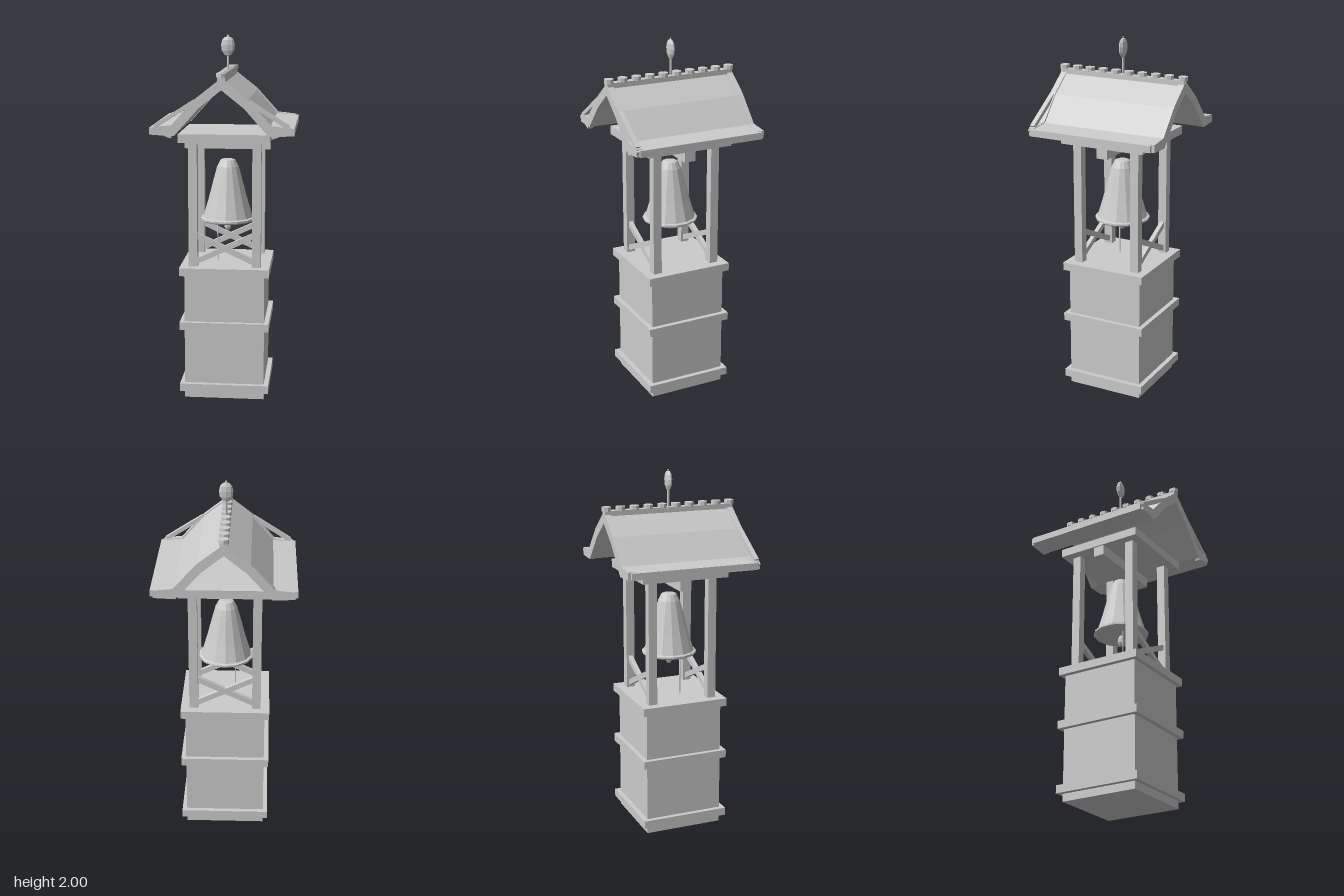
import * as THREE from 'three';

export function createModel() {
  const model = new THREE.Group();
  model.name = 'bellTower';
  const stone = new THREE.MeshStandardMaterial({ color: 0xcccccc, flatShading: true });
  stone.name = 'pale grey';

  const add = (name, geometry, x = 0, y = 0, z = 0) => {
    const mesh = new THREE.Mesh(geometry, stone);
    mesh.name = name;
    mesh.position.set(x, y, z);
    model.add(mesh);
    return mesh;
  };
  // Box given by its width, bottom, top and depth
  const block = (name, w, y0, y1, d, x = 0, z = 0) =>
    add(name, new THREE.BoxGeometry(w, y1 - y0, d), x, (y0 + y1) / 2, z);
  // Bar between two points of a plane facing z
  const bar = (name, x0, y0, x1, y1, thick, depth, z) => {
    const length = Math.hypot(x1 - x0, y1 - y0);
    const mesh = add(name, new THREE.BoxGeometry(length, thick, depth), (x0 + x1) / 2, (y0 + y1) / 2, z);
    mesh.rotation.z = Math.atan2(y1 - y0, x1 - x0);
    return mesh;
  };
  const lathe = (name, points, sides, x = 0, y = 0, z = 0) =>
    add(name, new THREE.LatheGeometry(points.map(p => new THREE.Vector2(...p)), sides), x, y, z);
  // Half outline mirrored in x and extruded from z0 to z1
  const gable = (name, upper, lower, z0, z1) => {
    const right = [...upper, ...lower];
    const left = right.slice(1, -1).reverse().map(([x, y]) => [-x, y]);
    const shape = new THREE.Shape([...right, ...left].map(p => new THREE.Vector2(...p)));
    return add(name, new THREE.ExtrudeGeometry(shape, { depth: z1 - z0, bevelEnabled: false }), 0, 0, z0);
  };

  // Base with three bands
  block('base', 0.44, 0, 0.71, 0.44);
  for (const [y0, y1] of [[0.042, 0.086], [0.397, 0.441], [0.704, 0.748]]) {
    block('band', 0.492, y0, y1, 0.492);
  }

  // Open belfry: posts, top plate, bell beam
  for (const x of [-0.174, 0.174]) {
    for (const z of [-0.174, 0.174]) block('post', 0.048, 0.74, 1.44, 0.048, x, z);
  }
  block('topPlate', 0.492, 1.437, 1.484, 0.492);
  block('bellBeam', 0.476, 1.38, 1.44, 0.064);

  // Crossed braces at front and back
  for (const z of [-0.174, 0.174]) {
    for (const s of [-1, 1]) bar('crossBrace', -0.16, 0.848 - s * 0.075, 0.16, 0.848 + s * 0.075, 0.03, 0.024, z);
  }

  // Bell, clapper and rope
  lathe('bell', [[0, 0.975], [0.14, 0.972], [0.153, 0.98], [0.153, 0.99], [0.139, 0.995], [0.108, 1.1],
    [0.082, 1.2], [0.06, 1.28], [0.042, 1.315], [0.03, 1.32], [0, 1.32]], 14);
  lathe('clapper', [[0, 0.914], [0.01, 0.916], [0.018, 0.932], [0.018, 0.955], [0.01, 0.976], [0, 0.98]], 8);
  add('rope', new THREE.CylinderGeometry(0.004, 0.004, 0.24, 6), -0.052, 0.865, 0.045);

  // Roof: two pitches on each side ending in a nearly flat eave
  gable('roof', [[0, 1.785], [0.137, 1.677], [0.254, 1.543], [0.38, 1.532]],
    [[0.38, 1.495], [0.25, 1.492], [0.12, 1.64], [0, 1.738]], -0.357, 0.357);
  const vergeTop = [[0, 1.792], [0.137, 1.685], [0.262, 1.547], [0.365, 1.536]];
  const vergeBottom = [[0.365, 1.495], [0.248, 1.49], [0.118, 1.636], [0, 1.73]];
  gable('backVerge', vergeTop, vergeBottom, -0.374, -0.339);
  gable('frontVerge', vergeTop, vergeBottom, 0.339, 0.372);

  // Carved struts with knobbed ends on the front verge
  for (const s of [-1, 1]) {
    bar('vergeStrut', s * 0.14, 1.672, s * 0.35, 1.538, 0.022, 0.026, 0.358);
    bar('strutTip', s * 0.325, 1.535, s * 0.365, 1.51, 0.034, 0.03, 0.358);
    bar('strutFoot', s * 0.262, 1.487, s * 0.325, 1.51, 0.02, 0.03, 0.358);
  }

  // Ridge with a row of round caps
  block('ridge', 0.04, 1.765, 1.797, 0.744);
  for (let i = 0; i < 10; i++) {
    add('ridgeCap', new THREE.CylinderGeometry(0.027, 0.027, 0.022, 8), 0, 1.806, -0.358 + i * 0.0795);
  }

  // Finial: pole with a flattened bulb
  add('finialPole', new THREE.CylinderGeometry(0.007, 0.007, 0.1, 6), 0, 1.85, -0.004);
  const bulb = lathe('finialBulb', [[0, 1.885], [0.018, 1.89], [0.034, 1.915], [0.038, 1.945],
    [0.032, 1.972], [0.018, 1.988], [0.006, 1.99], [0.005, 2], [0, 2]], 8, 0, 0, -0.004);
  bulb.scale.z = 0.47;

  return model;
}
